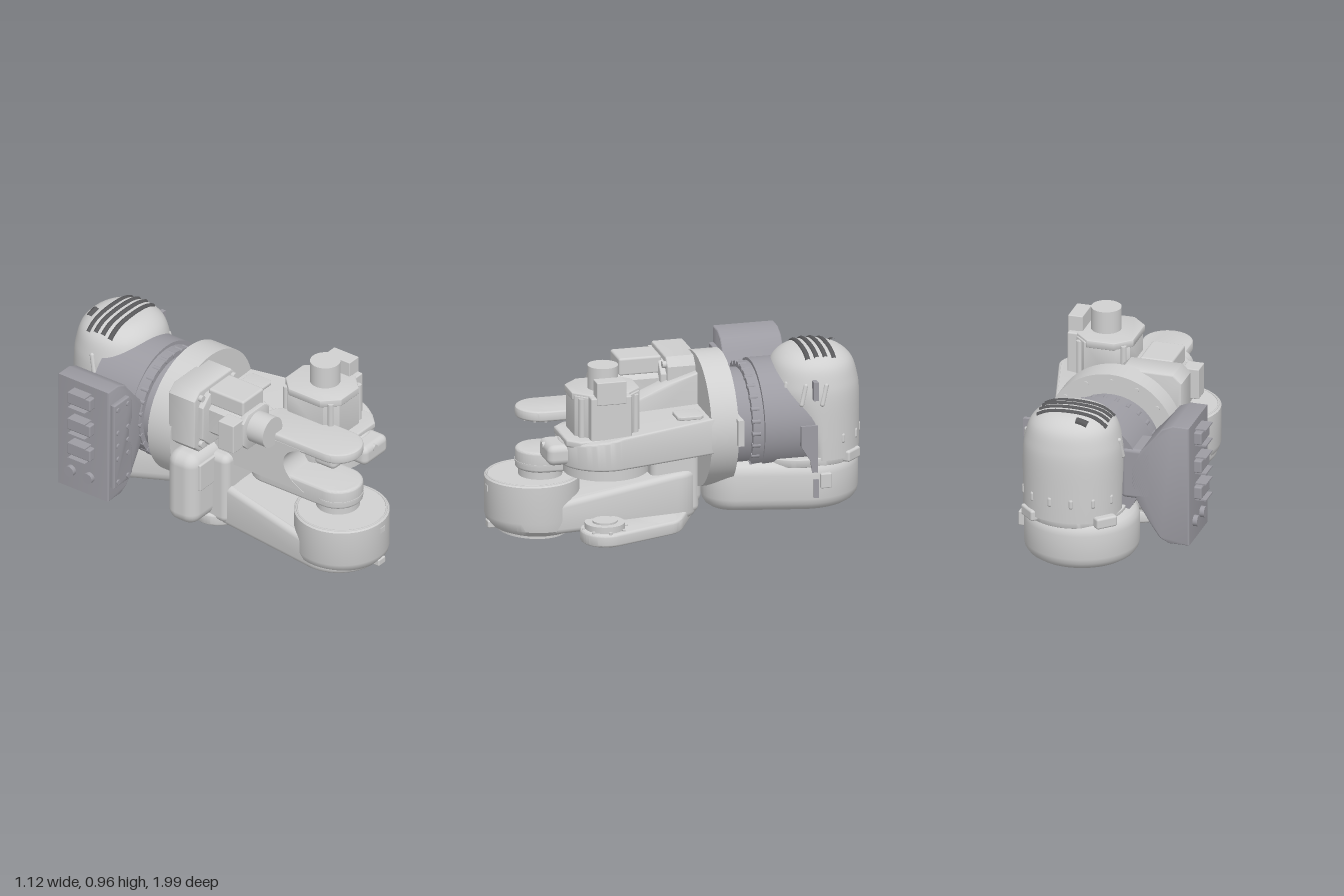
import * as THREE from 'three';
import { toCreasedNormals } from 'three/addons/utils/BufferGeometryUtils.js';
import { RoundedBoxGeometry } from 'three/addons/geometries/RoundedBoxGeometry.js';

export function createModel() {
  const model = new THREE.Group();
  const paint = (name, color) => Object.assign(new THREE.MeshStandardMaterial({ color }), { name });
  const shell = paint('shell grey', 0xd0d0d0);
  const steel = paint('violet grey', 0x9d9ca3);
  const dark = paint('dark grey', 0x5a5a5c);

  const add = (name, geo, mat = shell, x = 0, y = 0, z = 0) => {
    const m = new THREE.Mesh(geo, mat);
    m.name = name;
    m.position.set(x, y, z);
    model.add(m);
    return m;
  };
  // Box given by its low and high corners
  const box = (name, a, b, r = 0, mat = shell) => {
    const s = a.map((v, i) => b[i] - v);
    const geo = r ? new RoundedBoxGeometry(...s, 3, r) : new THREE.BoxGeometry(...s);
    return add(name, geo, mat, ...a.map((v, i) => (v + b[i]) / 2));
  };
  const extrude = (shape, depth, bevel) => toCreasedNormals(new THREE.ExtrudeGeometry(shape, {
    depth: depth - 2 * bevel, bevelEnabled: bevel > 0, bevelSize: bevel, bevelOffset: -bevel,
    bevelThickness: bevel, bevelSegments: 4, curveSegments: 28,
  }).translate(0, 0, bevel), 0.6);
  // Outline round two circles [x, z, r], seen in plan
  const hull = ([x1, z1, r1], [x2, z2, r2]) => {
    const dx = x2 - x1, dy = z1 - z2;
    const a = Math.atan2(dy, dx), b = Math.acos((r1 - r2) / Math.hypot(dx, dy));
    return new THREE.Shape()
      .absarc(x1, -z1, r1, a + b, a + 2 * Math.PI - b, false)
      .absarc(x2, -z2, r2, a - b, a + b, false);
  };
  const poly = (pts) => new THREE.Shape(pts.map((p) => new THREE.Vector2(...p)));
  const slab = (name, shape, y0, y1, bevel = 0.01, mat = shell) =>
    add(name, extrude(shape, y1 - y0, bevel).rotateX(-Math.PI / 2), mat, 0, y0, 0);
  // Moves vertices by a rule
  const bend = (geo, rule) => {
    const p = geo.attributes.position, v = new THREE.Vector3();
    for (let i = 0; i < p.count; i++) {
      rule(v.fromBufferAttribute(p, i));
      p.setXYZ(i, v.x, v.y, v.z);
    }
    return toCreasedNormals(geo, 0.6);
  };
  // Upright and front-to-back cylinders
  const post = (name, x, z, r, y0, y1, mat = shell) =>
    add(name, new THREE.CylinderGeometry(r, r, y1 - y0, 48), mat, x, (y0 + y1) / 2, z);
  const drum = (name, x, y, r, z0, z1, mat = shell) =>
    add(name, new THREE.CylinderGeometry(r, r, z1 - z0, 64).rotateX(Math.PI / 2), mat, x, y, (z0 + z1) / 2);
  const chamfered = (x0, y0, x1, y1, c) => poly([[x0 + c, y0], [x1 - c, y0], [x1, y0 + c], [x1, y1 - c],
    [x1 - c, y1], [x0 + c, y1], [x0, y1 - c], [x0, y0 + c]]);

  // Main flange, reducer and rear ring along z
  drum('mainFlange', 0.06, 0.55, 0.358, -0.275, -0.13);
  drum('reducerNeck', 0.06, 0.53, 0.268, -0.39, -0.27, steel);
  drum('rearRing', 0.06, 0.53, 0.298, -0.44, -0.37, steel);
  drum('rearBody', 0.07, 0.54, 0.305, -0.7, -0.43, steel);
  for (let i = 0; i < 28; i++) {
    const a = (i / 28) * Math.PI * 2, c = Math.cos(a), s = Math.sin(a);
    drum('ringBolt', 0.06 + c * 0.289, 0.53 + s * 0.289, 0.013, -0.41, -0.365, steel);
    if (i % 2) drum('flangeBolt', 0.06 + c * 0.32, 0.55 + s * 0.32, 0.014, -0.282, -0.265);
  }
  box('flangeTab', [0.32, 0.5, -0.295], [0.45, 0.64, -0.265]);

  // Rear motor cover: a squat dome, cut back below at the front
  const profile = [[0.262, 0.36], [0.264, 0.5], [0.264, 0.68], [0.252, 0.77], [0.225, 0.85], [0.17, 0.9], [0.1, 0.922], [0, 0.93]];
  const domePts = new THREE.SplineCurve(profile.map((p) => new THREE.Vector2(...p))).getPoints(40);
  domePts[40].x = 0;
  const cutBack = (y) => 0.3 + 0.7 * THREE.MathUtils.smoothstep(y, 0.36, 0.74);
  const square = (a) => Math.pow(Math.abs(Math.cos(a)) ** 2.12 + Math.abs(Math.sin(a)) ** 2.12, -1 / 2.12);
  add('motorCover', bend(new THREE.LatheGeometry(domePts, 72), (v) => {
    const k = square(Math.atan2(v.z, v.x));
    v.x *= k;
    v.z *= k * 0.925 * (v.z > 0 ? cutBack(v.y) : 1);
  }), shell, 0.118, 0, -0.748);
  const domeY = (r) => {
    const i = domePts.findIndex((p, k) => k > 12 && p.x <= r);
    const p = domePts[i], q = domePts[i - 1];
    return p.y + (q.y - p.y) * (r - p.x) / (q.x - p.x);
  };
  // Dark strips lying on the dome: middle z, end x values and half width
  const strips = [[0.07, -0.2, 0.172, 0.015], [0.02, -0.2, 0.172, 0.015], [-0.03, -0.2, 0.172, 0.015],
    [-0.08, -0.2, 0.172, 0.015], [-0.142, -0.115, -0.055, 0.022]];
  for (const [z, x0, x1, w] of strips) {
    const pts = [];
    for (let i = 0; i <= 12; i++) {
      const x = x0 + (x1 - x0) * i / 12;
      pts.push(new THREE.Vector3(x, domeY(Math.hypot(x, z)) - w * 0.3, z * 0.925));
    }
    add('topVent', new THREE.TubeGeometry(new THREE.CatmullRomCurve3(pts), 24, w, 8), dark, 0.118, 0, -0.748);
  }
  for (let i = 0; i < 14; i++) {
    const a = (i / 14 + 1 / 28) * Math.PI * 2, c = Math.cos(a), s = Math.sin(a);
    const front = c > -0.3, k = square(Math.PI / 2 - a) * 0.258;
    const scoop = add('sideScoop', new THREE.CapsuleGeometry(0.013, front ? 0.1 : 0.03, 4, 8), shell,
      0.118 + s * k, front ? 0.72 : 0.47, -0.748 + c * k * 0.925);
    scoop.rotation.set(front ? -0.25 : 0, 0, front ? 0.12 * s : 0);
  }

  // Lower rear casing with its lugs
  slab('lowerCasing', hull([0.09, -0.692, 0.303], [0.14, -0.33, 0.18]), 0.09, 0.36, 0.07);
  slab('casingSeam', hull([0.11, -0.725, 0.262], [0.13, -0.66, 0.25]), 0.33, 0.375, 0.005);
  add('casingPort', new THREE.TorusGeometry(0.125, 0.018, 10, 40).rotateX(Math.PI / 2), shell, 0.09, 0.093, -0.7);
  post('casingPlug', 0.09, -0.7, 0.1, 0.084, 0.11);
  slab('casingHatch', chamfered(0.04, 0.24, 0.22, 0.45, 0.03), 0.083, 0.1, 0.004);
  for (const y of [0.17, 0.7]) box('sideBracket', [0.34, y, -0.71], [0.405, y + 0.1, -0.685], 0, steel);
  // Curved tail of the rear body on the left side
  const tail = poly([[0.62, 0.56], [0.62, 0.45], [0.67, 0.37], [0.685, 0.24], [0.71, 0.24], [0.71, 0.56]]);
  add('rearTail', extrude(tail, 0.03, 0).rotateY(Math.PI / 2), steel, 0.36, 0, 0);
  for (const side of [-1, 1])
    box('casingLug', [0.1 + side * 0.205 - 0.06, 0.335, -0.935], [0.1 + side * 0.205 + 0.06, 0.395, -0.885], 0.012)
      .rotation.y = -side * Math.PI / 4;
  box('casingSideLug', [0.34, 0.22, -0.78], [0.41, 0.3, -0.72], 0.006);

  // Connector box on the right side
  const cabinet = poly([[-0.5, 0.19], [-0.39, 0.19], [-0.34, 0.215], [-0.3, 0.27], [-0.22, 0.4], [-0.18, 0.5],
    [-0.18, 0.6], [-0.22, 0.68], [-0.3, 0.77], [-0.35, 0.835], [-0.41, 0.86], [-0.5, 0.86]]);
  add('connectorBox', extrude(cabinet, 0.33, 0.008), steel, 0, 0, -0.71);
  box('boxBracket', [-0.3, 0.42, -0.71], [-0.13, 0.7, -0.5], 0.02, steel);
  const frontCover = poly([[-0.48, 0.27], [-0.35, 0.27], [-0.325, 0.3], [-0.325, 0.45], [-0.35, 0.52],
    [-0.35, 0.57], [-0.325, 0.63], [-0.325, 0.74], [-0.35, 0.775], [-0.48, 0.775]]);
  add('boxFrontCover', extrude(frontCover, 0.03, 0.006), steel, 0, 0, -0.385);
  for (const y of [0.3, 0.44, 0.52, 0.6, 0.74])
    for (const x of [-0.45, -0.365]) drum('coverScrew', x, y, 0.014, -0.36, -0.347, steel);
  for (const y of [0.765, 0.605, 0.455]) {
    box('connector', [-0.54, y - 0.035, -0.62], [-0.495, y + 0.035, -0.47], 0.008, steel);
    for (const s of [-1, 1]) box('connectorLatch', [-0.56, y + s * 0.045 - 0.004, -0.6], [-0.495, y + s * 0.045 + 0.004, -0.49], 0, steel);
  }
  for (const z of [-0.62, -0.5])
    add('roundPlug', new THREE.CylinderGeometry(0.03, 0.03, 0.03, 20).rotateZ(Math.PI / 2), steel, -0.51, 0.3, z);

  // Front block and lower wrist arm
  box('frontBlock', [-0.31, 0.075, -0.16], [0.14, 0.5, 0.03], 0.07);
  box('blockPanel', [-0.26, 0.29, 0.02], [-0.06, 0.45, 0.04], 0.008);
  box('blockCore', [-0.14, 0.05, -0.14], [0.14, 0.46, 0.12], 0.04);
  const arm = slab('lowerArm', hull([0.035, 0.72, 0.235], [0.04, 0.01, 0.15]), 0.035, 0.2, 0.03);
  arm.geometry = bend(arm.geometry, (v) => {
    if (v.y > 0.1) v.y += THREE.MathUtils.smoothstep(0.3 - v.z, 0, 0.3) * 0.09;
  });
  const wrist = [[0, 0.028], [0.18, 0.028], [0.215, 0.042], [0.242, 0.07], [0.25, 0.11], [0.25, 0.308], [0.243, 0.315], [0, 0.315]];
  // Its underside slopes up towards the front and the right
  const slope = (v) => { if (v.y < 0.1) v.y += (v.z - v.x) * 0.045; };
  add('wristHousing', bend(new THREE.LatheGeometry(wrist.map((p) => new THREE.Vector2(...p)), 64), slope), shell, 0.035, 0, 0.74);
  add('wristRim', new THREE.TorusGeometry(0.235, 0.006, 6, 64).rotateX(Math.PI / 2), shell, 0.035, 0.314, 0.74);
  add('wristBottomCap', bend(new THREE.CylinderGeometry(0.185, 0.185, 0.02, 48).translate(0, 0.027, 0), slope), shell, 0.035, 0, 0.74);
  box('wristLug', [0.025, 0.045, 0.93], [0.085, 0.085, 0.99], 0.008);
  box('wristTag', [0.035, 0.245, 0.98], [0.075, 0.275, 0.992]);

  // Thin bent belt cover under the arm, rising a little to the right
  const beltEnds = [[0.31, 0.42, 0.13], [0.2, 0.1, 0.13], [-0.03, -0.02, 0.13]];
  for (const i of [0, 1]) {
    const belt = slab('beltCover', hull(beltEnds[i], beltEnds[i + 1]), 0, 0.07, 0.015);
    belt.geometry = bend(belt.geometry, (v) => { v.y += (0.44 - v.x) * 0.035; });
  }
  post('beltCoverRim', 0.31, 0.42, 0.105, 0.06, 0.105);
  post('beltCoverHub', 0.31, 0.42, 0.065, 0.1, 0.115);
  for (let i = 0; i < 8; i++) {
    const a = i * Math.PI / 4;
    post('beltBolt', 0.31 + Math.cos(a) * 0.115, 0.42 + Math.sin(a) * 0.115, 0.009, 0.02, 0.08);
  }

  // C-shaped fork with its upper and lower rounded plates
  slab('upperPlate', hull([0.055, 0.7, 0.133], [0.055, 0.35, 0.133]), 0.635, 0.69, 0.012);
  slab('lowerPlate', hull([0.055, 0.7, 0.132], [0.055, 0.3, 0.132]), 0.355, 0.465, 0.015);
  post('lowerPlateHub', 0.055, 0.7, 0.115, 0.31, 0.36);
  post('lowerPlateBand', 0.055, 0.7, 0.135, 0.39, 0.4);
  const fork = new THREE.Shape().moveTo(-0.1, 0.4).lineTo(0.58, 0.4)
    .bezierCurveTo(0.4, 0.47, 0.4, 0.62, 0.58, 0.65).lineTo(-0.1, 0.66);
  add('forkWall', extrude(fork, 0.2, 0).rotateY(-Math.PI / 2), shell, 0.12, 0, 0);
  for (let i = 0; i < 7; i++) {
    const a = i * Math.PI / 6;
    for (const y of [0.63, 0.352])
      post('plateBolt', 0.055 + Math.cos(a) * 0.112, 0.7 + Math.sin(a) * 0.112, 0.009, y, y + 0.03);
  }
  const rib = poly([[-0.14, 0.82], [-0.14, 0.42], [0.3, 0.42], [0.27, 0.66], [0.02, 0.77]]);
  add('centreRib', extrude(rib, 0.18, 0.01).rotateY(-Math.PI / 2), shell, 0.13, 0, 0);

  // Left upper arm with sloping top and its motor
  const upper = slab('upperArm', hull([0.325, 0.44, 0.232], [0.25, -0.08, 0.17]), 0.455, 0.65, 0.012);
  upper.geometry = bend(upper.geometry, (v) => {
    if (v.y > 0.1) v.y -= Math.max(0, v.z - 0.25) * 0.16;
  });
  post('upperArmBottomCap', 0.325, 0.42, 0.222, 0.4, 0.46);
  box('armNose', [0.22, 0.465, 0.55], [0.425, 0.575, 0.755], 0.035);
  box('armShoulder', [0.1, 0.46, 0.5], [0.3, 0.575, 0.64], 0.03);
  drum('noseBolt', 0.305, 0.55, 0.018, 0.735, 0.76);
  slab('armInspectionPlate', chamfered(0.24, -0.04, 0.37, 0.1, 0.015), 0.64, 0.66, 0.004);
  slab('upperMotorBase', chamfered(0.12, -0.66, 0.49, -0.22, 0.06), 0.57, 0.61);
  slab('upperMotorBody', chamfered(0.14, -0.6, 0.43, -0.25, 0.06), 0.6, 0.83, 0.006);
  slab('upperMotorTop', chamfered(0.125, -0.61, 0.435, -0.245, 0.08), 0.8, 0.842, 0.006);
  post('upperMotorEncoder', 0.305, 0.43, 0.08, 0.84, 0.965);
  box('upperMotorPlug', [0.41, 0.8, 0.35], [0.49, 0.925, 0.51], 0.005);
  box('upperMotorSide', [0.42, 0.6, 0.32], [0.485, 0.84, 0.54], 0.008);
  for (const x of [0.165, 0.405]) for (const z of [0.28, 0.57]) post('motorRod', x, z, 0.016, 0.6, 0.82);

  // Right motor, pointing forward
  add('frontMotorMount', extrude(chamfered(-0.285, 0.52, 0.085, 0.89, 0.045), 0.17, 0.01), shell, 0, 0, -0.15);
  add('frontMotorFlange', extrude(chamfered(-0.25, 0.55, 0.06, 0.86, 0.06), 0.05, 0.006), shell, 0, 0, 0.0);
  add('frontMotorBody', extrude(chamfered(-0.2, 0.61, 0.02, 0.8, 0.03), 0.24, 0.006), shell, 0, 0, 0.04);
  add('frontMotorEnd', extrude(chamfered(-0.21, 0.6, 0.01, 0.81, 0.04), 0.035, 0.005), shell, 0, 0, 0.25);
  drum('frontMotorEncoder', -0.1, 0.71, 0.085, 0.28, 0.39);
  box('frontMotorPlug', [-0.28, 0.62, 0.17], [-0.19, 0.79, 0.27], 0.006);
  box('frontMotorCableBox', [-0.18, 0.79, 0.03], [0.0, 0.885, 0.26], 0.012);
  for (const x of [-0.235, 0.045]) for (const y of [0.57, 0.85]) drum('mountBolt', x, y, 0.018, 0.0, 0.04);
  return model;
}
